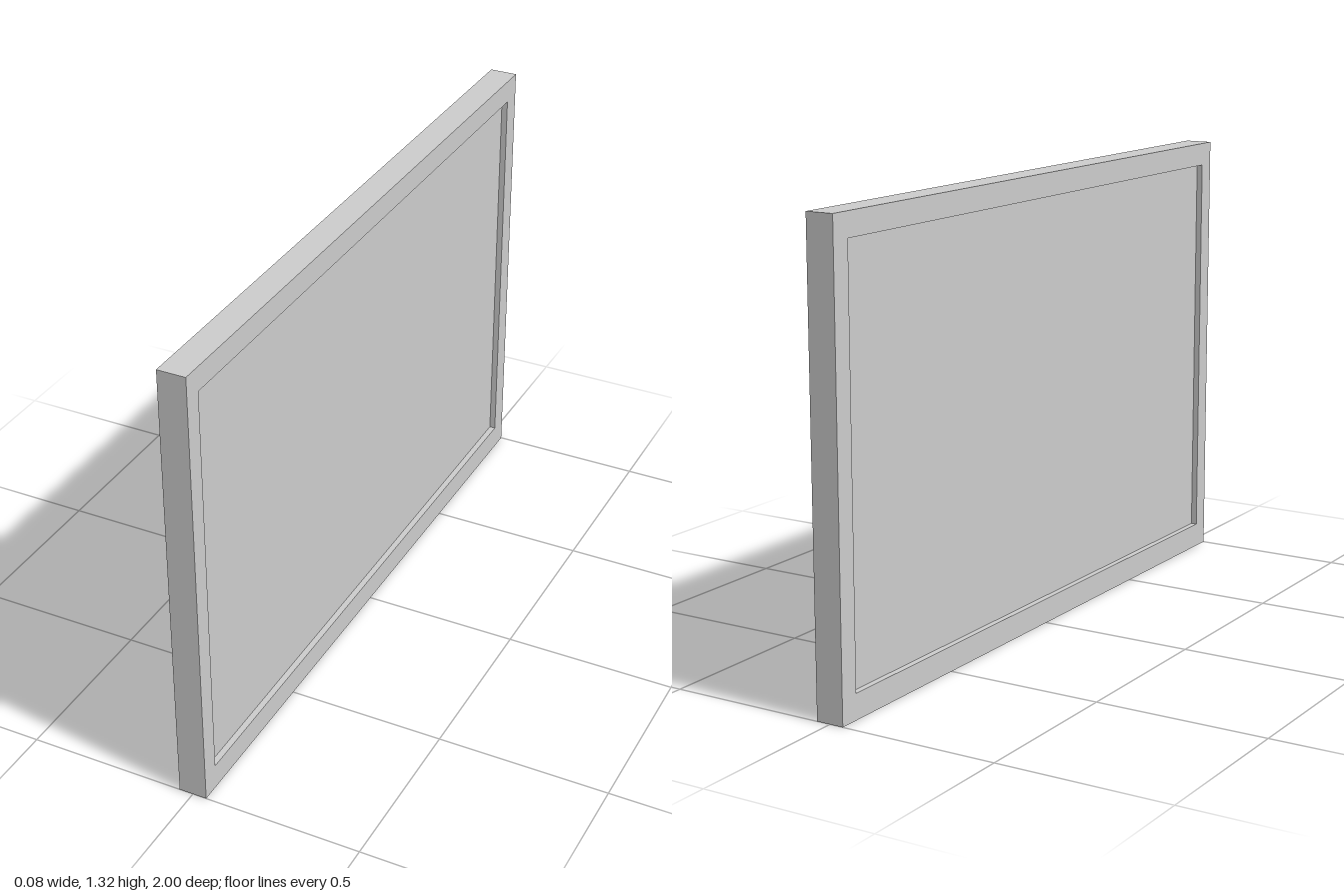
import * as THREE from 'three';

const LENGTH = 2, HEIGHT = 1.32, DEPTH = 0.082, RECESS = 0.018;
// Opening in the frame, along z and y
const OPENING = { z0: -0.94, z1: 0.946, y0: 0.073, y1: 1.252 };

function rectangle(path, x0, y0, x1, y1) {
  path.moveTo(x0, y0);
  path.lineTo(x1, y0);
  path.lineTo(x1, y1);
  path.lineTo(x0, y1);
  path.closePath();
  return path;
}

export function createModel() {
  const group = new THREE.Group();
  group.name = 'framedPanel';
  const material = new THREE.MeshStandardMaterial({ color: 0xcccccc });
  const { z0, z1, y0, y1 } = OPENING;

  // Frame: rectangular border, drawn flat and turned to lie along z
  const outline = rectangle(new THREE.Shape(), -LENGTH / 2, 0, LENGTH / 2, HEIGHT);
  outline.holes.push(rectangle(new THREE.Path(), z0, y0, z1, y1));
  const frameGeometry = new THREE.ExtrudeGeometry(outline, { depth: DEPTH, bevelEnabled: false });
  frameGeometry.translate(0, 0, -DEPTH / 2).rotateY(-Math.PI / 2);
  const frame = new THREE.Mesh(frameGeometry, material);
  frame.name = 'frame';
  group.add(frame);

  // Panel: fills the opening, set back from both faces
  const panel = new THREE.Mesh(
    new THREE.BoxGeometry(DEPTH - 2 * RECESS, y1 - y0, z1 - z0),
    material
  );
  panel.name = 'panel';
  panel.position.set(0, (y0 + y1) / 2, (z0 + z1) / 2);
  group.add(panel);

  return group;
}
